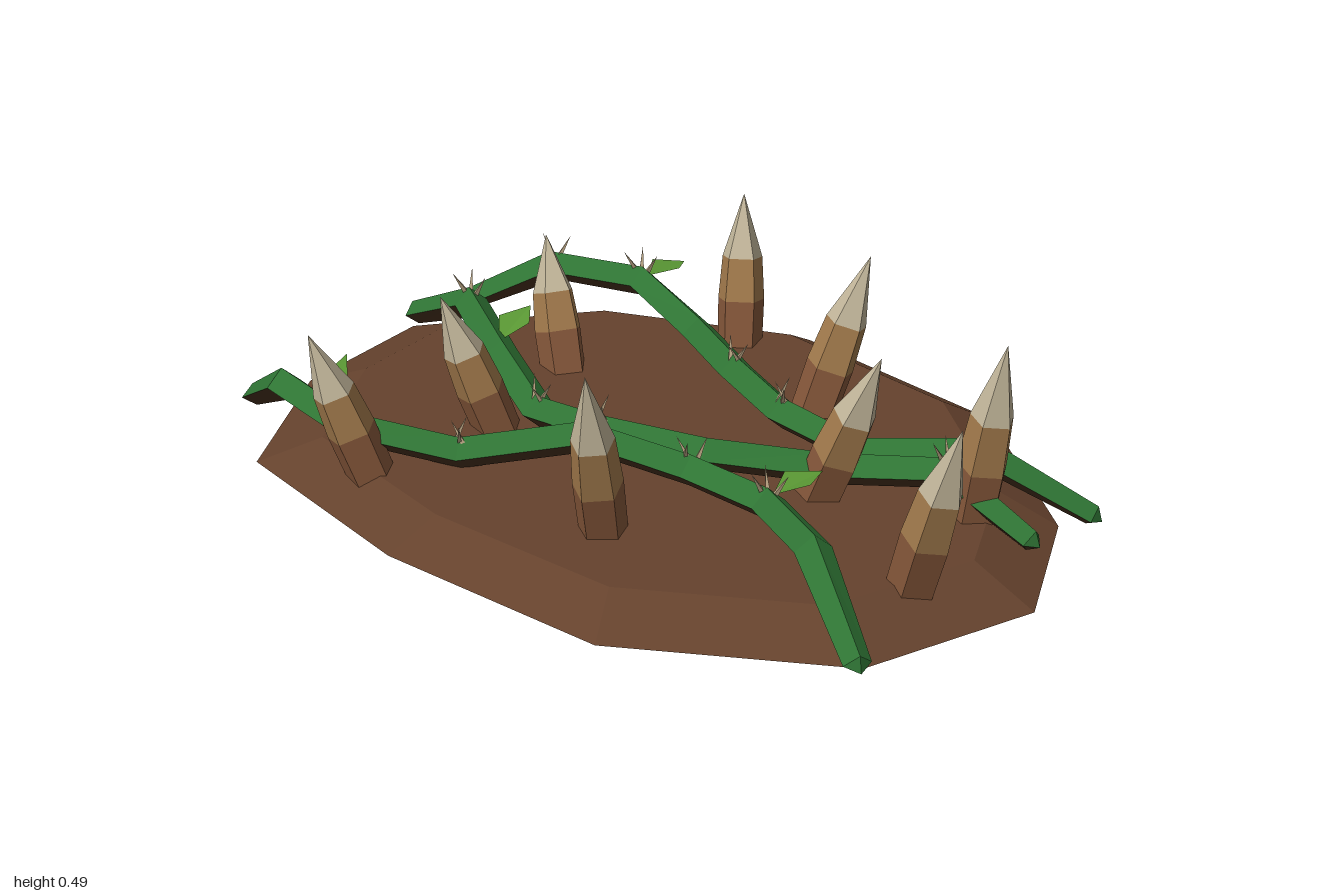
import * as THREE from 'three';

const mat = (name, color, extra = {}) =>
  Object.assign(new THREE.MeshStandardMaterial({ color, flatShading: true, ...extra }), { name });
const V = (x, y, z) => new THREE.Vector3(x, y, z);
const UP = V(0, 1, 0);

function trianglesToGeometry(points) {
  const geo = new THREE.BufferGeometry().setFromPoints(points);
  geo.computeVertexNormals();
  return geo;
}

export function createModel() {
  const model = new THREE.Group();
  const dirt = mat('dirt', 0x65422d, { side: THREE.DoubleSide });
  const green = mat('vine green', 0x2f7434);
  const bark = mat('dark vine underside', 0x49321f);
  const wood = mat('dark wood', 0x85573a);
  const paleWood = mat('pale wood', 0xa27a4c);
  const tipWood = mat('sharpened tip', 0xc2b69a);
  const thornTan = mat('thorn tan', 0xb09c7c);
  const leafGreen = mat('leaf green', 0x5a9834, { side: THREE.DoubleSide });

  const add = (parent, name, geo, material) => {
    const mesh = new THREE.Mesh(geo, material);
    mesh.name = name;
    parent.add(mesh);
    return mesh;
  };

  // Hollow dirt mound: irregular rim, sloping wall and flat lid
  const rim = [[1, 0.03], [0.82, -0.32], [0.395, -0.66], [-0.2, -0.735], [-0.72, -0.515], [-1, -0.165],
    [-0.965, 0.22], [-0.745, 0.6], [-0.2, 0.725], [0.395, 0.725], [0.87, 0.445]];
  const H = 0.065, INSET = 0.84;
  const mound = [];
  rim.forEach(([x, z], i) => {
    const [x2, z2] = rim[(i + 1) % rim.length];
    const a = V(x, 0, z), b = V(x2, 0, z2);
    const c = V(x2 * INSET, H, z2 * INSET), d = V(x * INSET, H, z * INSET);
    mound.push(a, b, c, a, c, d, d, c, V(0, H, 0));
  });
  add(model, 'dirtMound', trianglesToGeometry(mound), dirt);

  // Five-sided sharpened stakes: [base x, base z, tip x, tip y, tip z]
  const stakes = [
    [-0.24, -0.51, -0.29, 0.41, -0.585], [0.13, -0.32, 0.2, 0.43, -0.44], [0.15, 0.42, 0.2, 0.475, 0.53],
    [0.39, -0.01, 0.55, 0.428, -0.02], [0.71, -0.145, 0.785, 0.485, -0.145], [0.79, 0.18, 0.92, 0.46, 0.2],
    [-0.43, 0.54, -0.52, 0.393, 0.63], [-0.36, 0.2, -0.45, 0.39, 0.29], [-0.46, -0.13, -0.57, 0.355, -0.19],
  ];
  stakes.forEach(([bx, bz, tx, ty, tz], i) => {
    const stake = new THREE.Group();
    stake.name = 'stake';
    const base = V(bx, 0.04, bz), axis = V(tx, ty, tz).sub(base), len = axis.length();
    const segment = (name, r0, r1, from, to, material) => {
      const geo = new THREE.CylinderGeometry(r1 * 1, r0, (to - from) * len, 5, 1, from > 0);
      add(stake, name, geo, material).position.y = ((from + to) / 2) * len;
    };
    segment('stakeShaft', 0.056, 0.058, 0, 0.33, wood);
    segment('stakeNeck', 0.058, 0.05, 0.33, 0.6, paleWood);
    segment('stakeTip', 0.05, 0, 0.6, 1, tipWood);
    stake.position.copy(base);
    stake.quaternion.setFromUnitVectors(UP, axis.normalize());
    stake.rotateY(i * 1.3);
    model.add(stake);
  });

  // Diamond-section vines; points share x positions and list heights and depths
  const xs = [-0.975, -0.755, -0.52, -0.285, -0.05, 0.185, 0.415, 0.655, 0.87];
  const vines = [
    { y: [0.02, 0.15, 0.155, 0.11, 0.13, 0.14, 0.115, 0.15, 0.02],
      z: [-0.28, -0.415, -0.475, -0.41, -0.265, -0.145, -0.14, -0.255, -0.375] },
    { y: [0.05, 0.15, 0.135, 0.105, 0.15, 0.14, 0.12, 0.15, 0.055],
      z: [-0.15, -0.12, 0.025, 0.15, 0.2, 0.12, -0.03, -0.13, -0.14] },
    { y: [0.02, 0.155, 0.135, 0.1, 0.155, 0.12, 0.12, 0.155, 0.02],
      z: [0.39, 0.495, 0.53, 0.41, 0.25, 0.175, 0.19, 0.34, 0.465] },
  ];
  const thornGeo = new THREE.ConeGeometry(0.008, 0.065, 4).translate(0, 0.0325, 0);

  vines.forEach(({ y, z }, v) => {
    const vine = new THREE.Group();
    vine.name = 'vine';
    const path = xs.map((x, i) => V(x, y[i], z[i]));
    const n = path.length;
    const rings = path.map((p, i) => {
      const t = path[Math.min(i + 1, n - 1)].clone().sub(path[Math.max(i - 1, 0)]).normalize();
      const s = t.clone().cross(UP).normalize(), u = s.clone().cross(t);
      const k = i === 0 || i === n - 1 ? 0.75 : 1;
      return [[s, 0.042], [u, 0.038], [s, -0.042], [u, -0.038]].map(([dir, r]) => {
        const q = p.clone().addScaledVector(dir, r * k);
        q.y = Math.max(q.y, 0.001);
        return q;
      });
    });
    // Pointed ends close the tube
    const end = (i, j) => {
      const q = path[i].clone().add(path[i].clone().sub(path[j]).setLength(0.025));
      q.y = Math.max(q.y, 0.001);
      return [q, q, q, q];
    };
    const loops = [end(0, 1), ...rings, end(n - 1, n - 2)];
    const strip = (sides) => {
      const pts = [];
      for (let i = 0; i < loops.length - 1; i++) {
        for (const k of sides) {
          const a = loops[i][k], b = loops[i][(k + 1) % 4];
          const c = loops[i + 1][(k + 1) % 4], d = loops[i + 1][k];
          pts.push(a, c, b, a, d, c);
        }
      }
      return trianglesToGeometry(pts);
    };
    add(vine, 'vineTop', strip([0, 1]), green);
    add(vine, 'vineUnderside', strip([2, 3]), bark);

    // Thorn clusters along the top of the vine
    for (let i = 1; i < n - 1; i++) {
      if ((i + v) % 3 === 0) continue;
      for (let k = 0; k < 3; k++) {
        const a = k * 2.1 + i + v;
        const thorn = add(vine, 'thorn', thornGeo, thornTan);
        thorn.position.copy(path[i]).add(V((k - 1) * 0.015, 0.022, 0));
        thorn.quaternion.setFromUnitVectors(UP, V(Math.cos(a) * 0.6, 1, Math.sin(a) * 0.6).normalize());
      }
    }
    model.add(vine);
  });

  // Folded diamond leaves: [x, y, z of stem, turn, pitch]
  const leafPts = [V(0, 0, 0), V(0.043, 0.012, -0.07), V(0, 0, -0.14), V(-0.043, 0.012, -0.07)];
  const [l0, l1, l2, l3] = leafPts;
  const leafGeo = trianglesToGeometry([l0, l1, l2, l0, l2, l3]);
  [[-0.515, 0.165, -0.49, 0, -0.05], [-0.55, 0.15, 0, 0.15, 0.3], [0.42, 0.14, 0.18, -0.2, 0.1],
    [-0.605, 0.13, 0.5, 0, 1.1]].forEach(([x, y, z, turn, pitch]) => {
    const leaf = add(model, 'leaf', leafGeo, leafGreen);
    leaf.position.set(x, y, z);
    leaf.rotation.set(pitch, turn, 0, 'YXZ');
  });

  return model;
}
